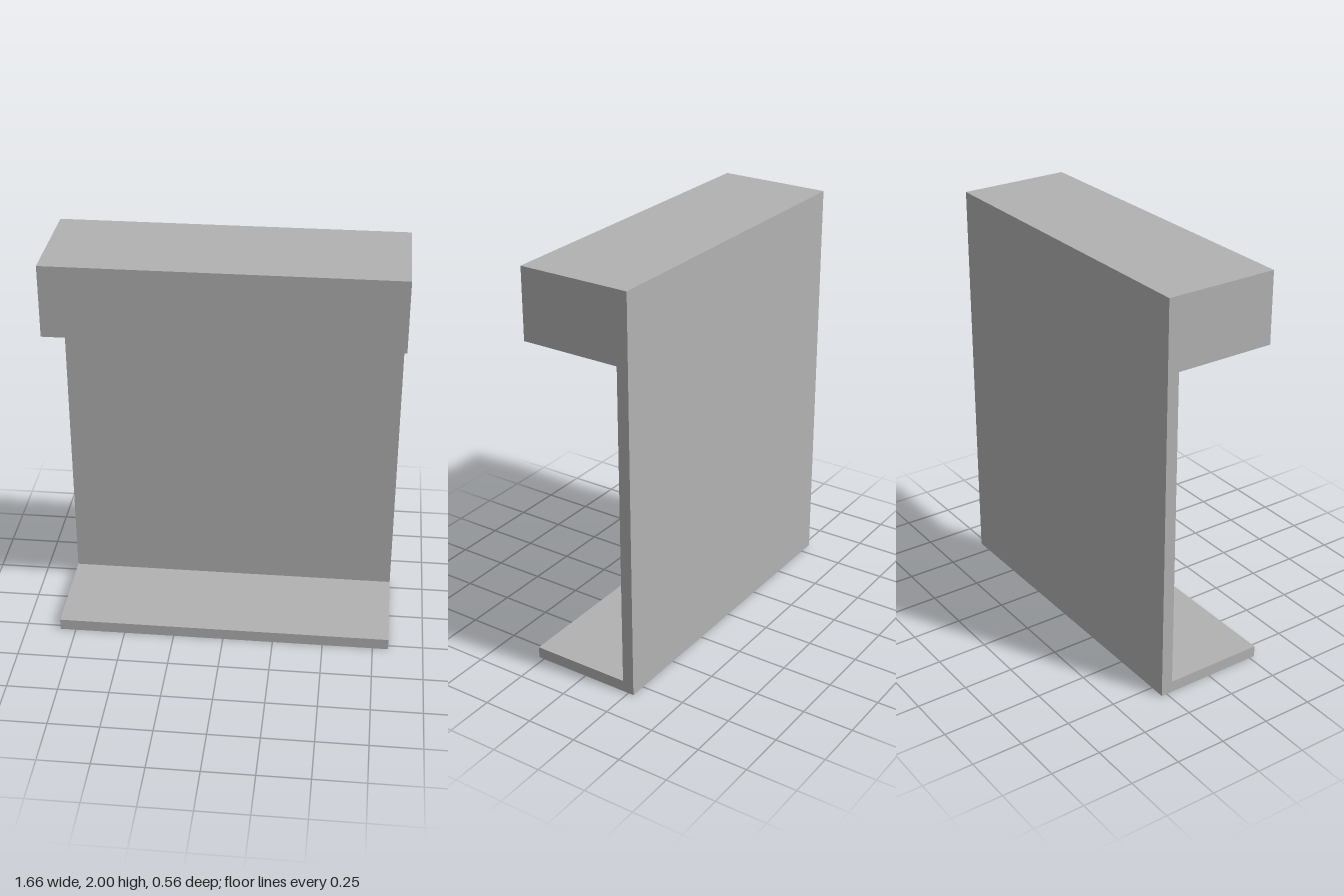
import * as THREE from 'three';

export function createModel() {
  const group = new THREE.Group();
  const grey = new THREE.MeshStandardMaterial({ color: 0xb2b2b2 });
  grey.name = 'plain grey';

  const width = 1.656;
  const depth = 0.556;
  const panelDepth = 0.058;
  const shelfDepth = depth - panelDepth;

  // Full-width slab given by its bottom, height, back and depth
  function slab(name, bottom, height, back, slabDepth) {
    const mesh = new THREE.Mesh(new THREE.BoxGeometry(width, height, slabDepth), grey);
    mesh.name = name;
    mesh.position.set(0, bottom + height / 2, back + slabDepth / 2);
    group.add(mesh);
  }

  // Upright panel with a thin shelf at its foot and a deep box at its top
  slab('backPanel', 0, 2, -depth / 2, panelDepth);
  slab('bottomShelf', 0, 0.057, -depth / 2 + panelDepth, shelfDepth);
  slab('topBox', 1.652, 0.348, -depth / 2 + panelDepth, shelfDepth);

  return group;
}
